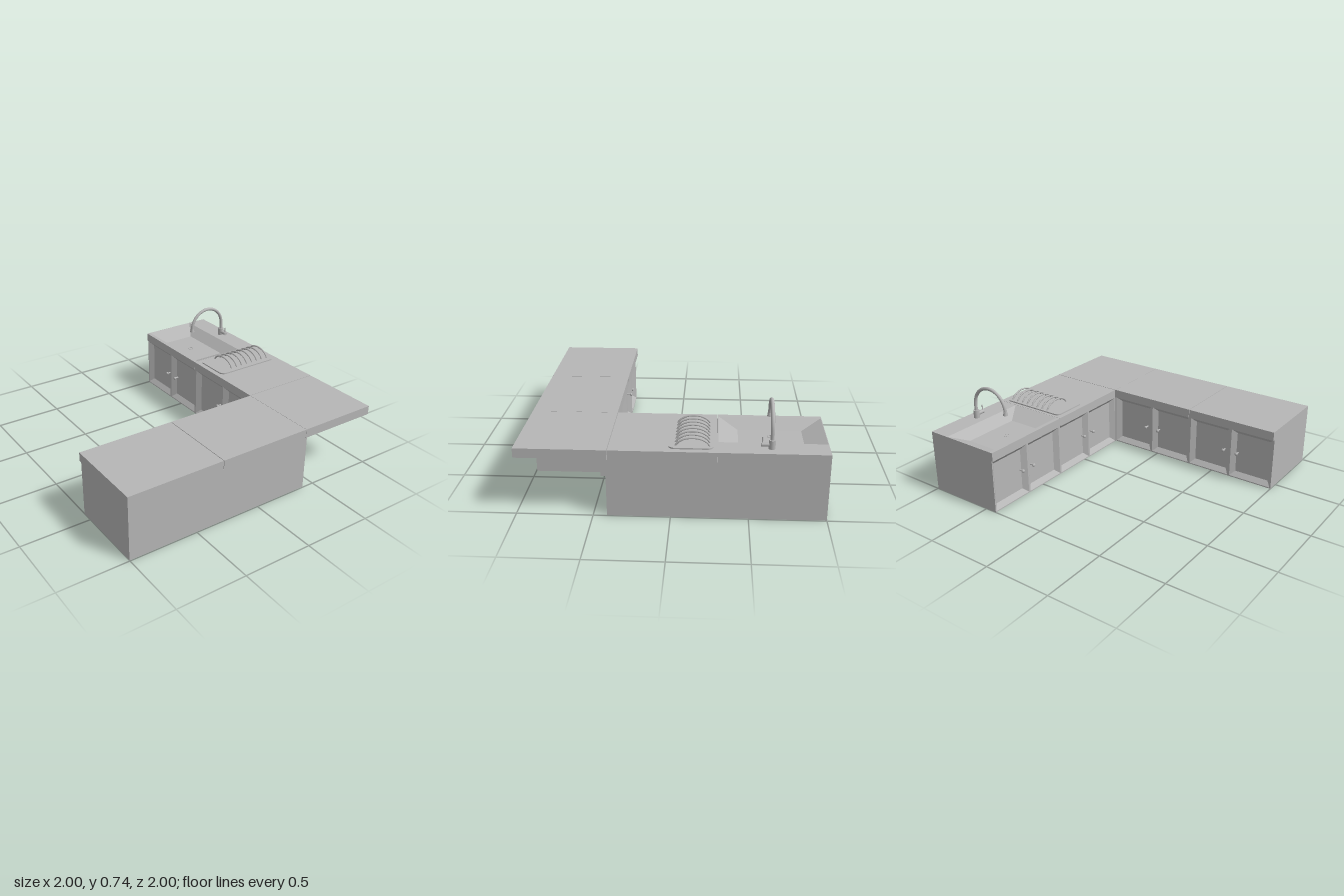
import * as THREE from 'three';

const grey = new THREE.MeshStandardMaterial({ color: 0xb6b6b6 });
grey.name = 'plainGrey';

const rect = (x0, y0, x1, y1, z) => [[x0, y0, z], [x1, y0, z], [x1, y1, z], [x0, y1, z]];

// Closed solid lofted through four-cornered loops, ending in two flat caps
function loft(loops) {
  const pos = [];
  const quad = (a, b, c, d) => pos.push(...a, ...b, ...c, ...a, ...c, ...d);
  for (let k = 0; k + 1 < loops.length; k++) {
    const a = loops[k], b = loops[k + 1];
    for (let i = 0; i < 4; i++) quad(a[i], a[(i + 1) % 4], b[(i + 1) % 4], b[i]);
  }
  const first = loops[0], last = loops[loops.length - 1];
  quad(first[3], first[2], first[1], first[0]);
  quad(...last);
  const g = new THREE.BufferGeometry();
  g.setAttribute('position', new THREE.Float32BufferAttribute(pos, 3));
  g.computeVertexNormals();
  return g;
}

function add(parent, name, geometry, x = 0, y = 0, z = 0) {
  const m = new THREE.Mesh(geometry, grey);
  m.name = name;
  m.position.set(x, y, z);
  parent.add(m);
  return m;
}

const box = (parent, name, x0, y0, z0, x1, y1, z1) => add(parent, name,
  new THREE.BoxGeometry(x1 - x0, y1 - y0, z1 - z0), (x0 + x1) / 2, (y0 + y1) / 2, (z0 + z1) / 2);

// Two-door cabinet; its face lies at local z = 0 and looks along +z
function cabinet(name, width, depth) {
  const g = new THREE.Group();
  g.name = name;
  const H = 0.4, lip = 0.008, inset = 0.042, sunk = 0.032;
  for (const s of [-1, 1]) {
    const x0 = s < 0 ? -width / 2 : 0, x1 = x0 + width / 2;
    const inner = (d, z) => rect(x0 + d, d, x1 - d, H - d, z);
    add(g, 'cabinetDoor', loft([inner(0, -depth), inner(0, 0), inner(lip, 0), inner(inset, -sunk)]));
    const stem = add(g, 'knobStem', new THREE.CylinderGeometry(0.006, 0.006, 0.03, 12), s * 0.056, 0.2, -sunk + 0.015);
    stem.rotation.x = Math.PI / 2;
    const knob = add(g, 'doorKnob', new THREE.SphereGeometry(0.013, 16, 10), s * 0.056, 0.2, 0.002);
    knob.scale.z = 0.7;
  }
  return g;
}

export function createModel() {
  const model = new THREE.Group();
  model.name = 'cornerKitchen';
  const E = 0.995, bottom = 0.4, top = 0.465, gap = 0.002;

  // Base cabinets: two along each arm, doors facing the inner corner
  for (const [a, b] of [[-1, -0.295], [-0.295, 0.41]]) {
    const front = cabinet('longArmCabinet', b - a, E - 0.42);
    front.position.set((a + b) / 2, 0, 0.42);
    front.rotation.y = Math.PI;
    const side = cabinet('sinkArmCabinet', b - a, E - 0.41);
    side.position.set(0.41, 0, (a + b) / 2);
    side.rotation.y = -Math.PI / 2;
    model.add(front, side);
  }
  box(model, 'cornerPost', 0.405, 0, 0.405, 0.465, bottom, 0.53);

  // Worktop slabs with narrow joints
  box(model, 'worktopEnd', -1, bottom, 0.4, -0.295 - gap, top, E);
  box(model, 'worktopMiddle', -0.295 + gap, bottom, 0.4, 0.4 - gap, top, E);
  box(model, 'worktopCorner', 0.4, bottom, 0.4, E, top, E);
  box(model, 'worktopDrainer', 0.4, bottom, -0.293, E, top, 0.4 - 2 * gap);

  // Sink slab with sloping basin walls (local y is -z)
  const sink = loft([
    rect(0.4, 0.295, E, 1, bottom), rect(0.4, 0.295, E, 1, top),
    rect(0.43, 0.3, 0.84, 0.996, top), rect(0.51, 0.43, 0.76, 0.86, 0.402)]);
  sink.rotateX(-Math.PI / 2);
  add(model, 'sinkBasin', sink);
  const drain = add(model, 'drainRing', new THREE.TorusGeometry(0.018, 0.002, 6, 24), 0.61, 0.403, -0.645);
  drain.rotation.x = Math.PI / 2;

  // Drying rack: rounded tray with eight arches
  const x0 = 0.437, x1 = 0.955, y0 = -0.015, y1 = 0.27, r = 0.04;
  const tray = new THREE.Shape();
  tray.moveTo(x0 + r, y0);
  tray.absarc(x1 - r, y0 + r, r, -Math.PI / 2, 0);
  tray.absarc(x1 - r, y1 - r, r, 0, Math.PI / 2);
  tray.absarc(x0 + r, y1 - r, r, Math.PI / 2, Math.PI);
  tray.absarc(x0 + r, y0 + r, r, Math.PI, Math.PI * 1.5);
  const trayGeo = new THREE.ExtrudeGeometry(tray, { depth: 0.009, bevelEnabled: false, curveSegments: 8 });
  trayGeo.rotateX(-Math.PI / 2);
  add(model, 'rackTray', trayGeo, 0, top, 0);
  const arch = new THREE.CatmullRomCurve3([[-0.025, 0.467], [-0.045, 0.495], [-0.085, 0.518], [-0.138, 0.526],
    [-0.19, 0.518], [-0.23, 0.495], [-0.25, 0.467]].map(([z, y]) => new THREE.Vector3(0, y, z)));
  const archGeo = new THREE.TubeGeometry(arch, 24, 0.0065, 8);
  for (let i = 0; i < 8; i++) add(model, 'rackArch', archGeo, 0.563 + i * 0.0505);

  // Swan-neck tap
  const tap = new THREE.Group();
  tap.name = 'tap';
  tap.position.z = -0.635;
  model.add(tap);
  const neck = [new THREE.Vector3(0.915, 0.5, 0), new THREE.Vector3(0.915, 0.54, 0)];
  for (let i = 0; i <= 12; i++) {
    const a = (i / 12) * Math.PI;
    neck.push(new THREE.Vector3(0.765 + 0.15 * Math.cos(a), 0.575 + 0.15 * Math.sin(a), 0));
  }
  add(tap, 'tapNeck', new THREE.TubeGeometry(new THREE.CatmullRomCurve3(neck), 56, 0.0125, 12));
  add(tap, 'tapSpout', new THREE.CylinderGeometry(0.014, 0.018, 0.025, 16), 0.615, 0.57, 0);
  add(tap, 'tapBase', new THREE.CylinderGeometry(0.022, 0.022, 0.06, 20), 0.915, 0.495, 0);
  const valve = add(tap, 'tapValve', new THREE.CylinderGeometry(0.014, 0.014, 0.06, 16), 0.915, 0.492, 0.038);
  valve.rotation.x = Math.PI / 2;
  add(tap, 'tapLever', new THREE.CylinderGeometry(0.004, 0.004, 0.045, 8), 0.915, 0.522, 0.061);

  return model;
}
